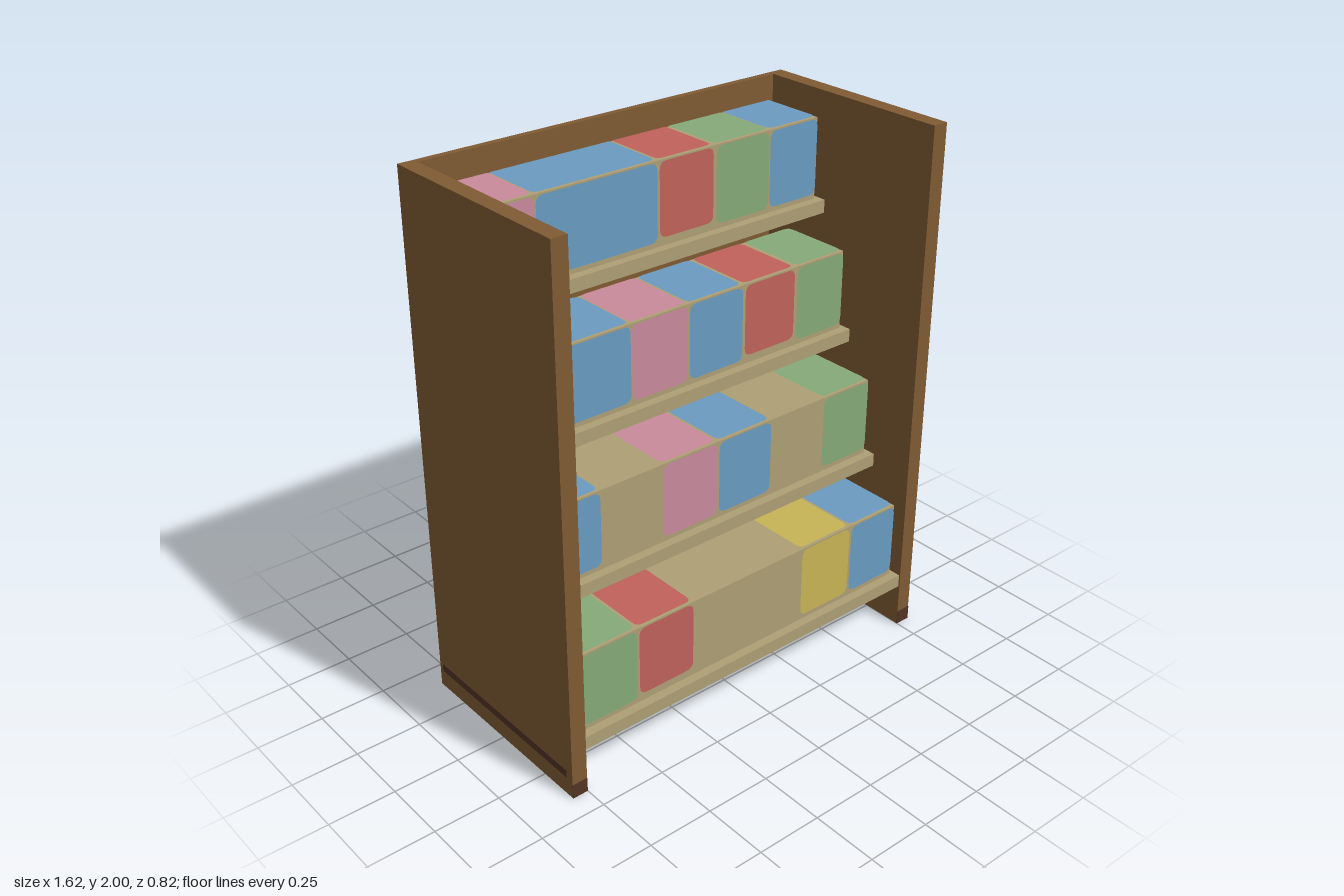
import * as THREE from 'three';

export function createModel() {
  const root = new THREE.Group();
  root.name = 'displayShelf';

  const paint = (name, color) => {
    const m = new THREE.MeshStandardMaterial({ color });
    m.name = name;
    return m;
  };
  const dark = paint('darkWood', 0x523424);
  const brown = paint('brownWood', 0x7f5b33);
  const tan = paint('tanWood', 0xae9f75);
  const pink = paint('pink', 0xc98a9b);
  const blue = paint('blue', 0x6a9bc0);
  const red = paint('red', 0xc0625a);
  const green = paint('green', 0x86aa78);
  const yellow = paint('yellow', 0xc7b455);
  const deepBlue = paint('deepBlue', 0x2a5594);

  // box given by its low and high corners
  const block = (name, lo, hi, material, parent = root) => {
    const size = hi.map((v, i) => v - lo[i]);
    const mesh = new THREE.Mesh(new THREE.BoxGeometry(...size), material);
    mesh.position.set(...hi.map((v, i) => (v + lo[i]) / 2));
    mesh.name = name;
    parent.add(mesh);
    return mesh;
  };

  // flat rectangle with rounded corners, centred, facing +z
  const roundedPatch = (w, h, r) => {
    const s = new THREE.Shape();
    const x = w / 2, y = h / 2;
    s.moveTo(-x + r, -y);
    s.lineTo(x - r, -y);
    s.quadraticCurveTo(x, -y, x, -y + r);
    s.lineTo(x, y - r);
    s.quadraticCurveTo(x, y, x - r, y);
    s.lineTo(-x + r, y);
    s.quadraticCurveTo(-x, y, -x, y - r);
    s.lineTo(-x, -y + r);
    s.quadraticCurveTo(-x, -y, -x + r, -y);
    return new THREE.ShapeGeometry(s, 4);
  };
  const patch = (name, w, h, r, material, position, parent) => {
    const mesh = new THREE.Mesh(roundedPatch(w, h, r), material);
    mesh.position.set(...position);
    mesh.name = name;
    parent.add(mesh);
    return mesh;
  };

  // frame: side panels and back, face order +x -x +y -y +z -z
  const frameFaces = [dark, brown, brown, dark, brown, dark];
  block('leftPanel', [0.75, 0, -0.4], [0.81, 2, 0.41], frameFaces);
  block('rightPanel', [-0.81, 0, -0.4], [-0.75, 2, 0.41], frameFaces);
  block('backPanel', [-0.75, 0, -0.4], [0.75, 2, -0.375], frameFaces);

  // dark band along the foot of the frame
  block('backFootBand', [-0.75, 0, -0.375], [0.75, 0.06, -0.373], dark);
  for (const s of [-1, 1]) {
    const x = s * 0.78;
    block('panelFootBand', [x - 0.03, 0, 0.41], [x + 0.03, 0.055, 0.412], dark);
  }
  block('sideFootStripe', [-0.812, 0.07, -0.38], [-0.81, 0.1, 0.38], dark);

  // each level: underside height, shelf front, then coloured spans [x0, x1, colour]
  const levels = [
    { y: 0.17, z: 0.405, spans: [[-0.73, -0.5, green], [-0.49, -0.255, red], [0.257, 0.495, yellow], [0.505, 0.73, blue]] },
    { y: 0.63, z: 0.235, spans: [[-0.73, -0.51, blue], [-0.245, -0.005, pink], [0.005, 0.245, blue], [0.505, 0.73, green]] },
    { y: 1.09, z: 0.075, spans: [[-0.73, -0.25, blue], [-0.245, -0.003, pink], [0.005, 0.245, blue], [0.257, 0.49, red], [0.505, 0.73, green]] },
    { y: 1.55, z: -0.085, spans: [[-0.73, -0.498, pink], [-0.493, -0.003, blue], [0.007, 0.243, red], [0.257, 0.5, green], [0.505, 0.73, blue]] },
  ];
  const shelfFaces = [tan, tan, tan, brown, tan, brown];
  const depth = 0.288, height = 0.305;

  levels.forEach(({ y, z, spans }, i) => {
    const level = new THREE.Group();
    level.name = 'level' + (i + 1);
    root.add(level);
    block('shelf', [-0.75, y, -0.402], [0.75, y + 0.05, z], shelfFaces, level);

    // row of goods: tan core with coloured fronts and tops
    const bottom = y + 0.05, top = bottom + height, front = z - 0.034;
    block('goodsCore', [-0.73, bottom, front - depth], [0.73, top, front], tan, level);
    for (const [x0, x1, colour] of spans) {
      const w = x1 - x0, x = (x0 + x1) / 2;
      const low = colour === red ? 0.03 : 0.018;
      patch('goodsFront', w, height - low - 0.005, 0.03, colour,
        [x, bottom + (low + height - 0.005) / 2, front + 0.002], level);
      patch('goodsTop', w, depth - 0.01, 0.025, colour,
        [x, top + 0.002, front - depth / 2 - 0.005], level).rotation.x = -Math.PI / 2;
    }
  });

  // rear of the top row, showing through the back panel
  const rear = new THREE.Group();
  rear.name = 'rearGoods';
  root.add(rear);
  [deepBlue, green, red, deepBlue, deepBlue, pink].forEach((colour, i) => {
    const x = -0.608 + i * 0.2433;
    patch('rearPanel', 0.236, 0.295, 0.015, colour, [x, 1.7525, -0.409], rear).rotation.y = Math.PI;
    if (colour !== deepBlue) return;
    for (const s of [-1, 1]) {
      patch('rearSpot', 0.08, 0.05, 0.024, blue, [x + s * 0.033, 1.755, -0.4105], rear).rotation.y = Math.PI;
    }
  });

  return root;
}
